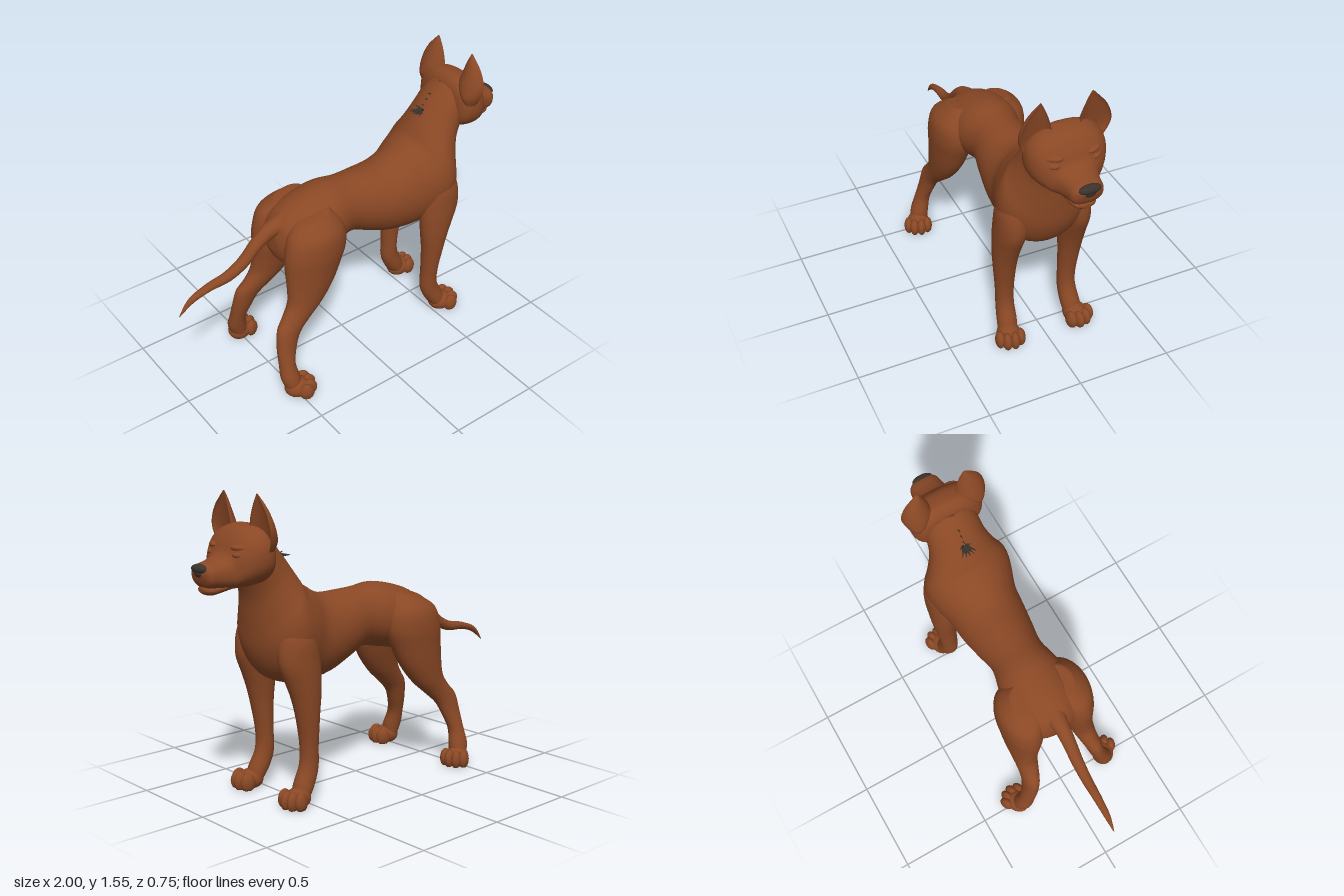
import * as THREE from 'three';

const coat = new THREE.MeshStandardMaterial({ color: 0x8a4825 });
coat.name = 'brown coat';
const dark = new THREE.MeshStandardMaterial({ color: 0x3a332c });
dark.name = 'dark nose';

// Smooth skin through rings [x1, y1, x2, y2, z, halfWidth]: each ring is an ellipse
// between two points of the side profile. hollow folds the second half inwards.
function loft(rings, { side = 1, steps = 5, seg = 32, hollow = 0, square = 1 } = {}) {
  const cr = (a, b, c, d, t) =>
    0.5 * (2 * b + (c - a) * t + (2 * a - 5 * b + 4 * c - d) * t * t + (3 * b - a - 3 * c + d) * t * t * t);
  const at = i => rings[Math.max(0, Math.min(rings.length - 1, i))];
  const n = (rings.length - 1) * steps;
  const pos = [], idx = [];
  const tri = (a, b, c) => (side > 0 ? idx.push(a, b, c) : idx.push(a, c, b));
  for (let k = 0; k <= n; k++) {
    const i = Math.min(Math.floor(k / steps), rings.length - 2), t = k / steps - i;
    const [x1, y1, x2, y2, z, w] = at(i).map((_, m) => cr(at(i - 1)[m], at(i)[m], at(i + 1)[m], at(i + 2)[m], t));
    for (let j = 0; j < seg; j++) {
      const a = (j / seg) * Math.PI * 2;
      let c = Math.cos(a), s = Math.sin(a);
      c = Math.sign(c) * Math.abs(c) ** square;
      s = Math.sign(s) * Math.abs(s) ** square;
      if (hollow && c < 0) c *= -hollow;
      pos.push((x1 + x2) / 2 + (x1 - x2) / 2 * c, (y1 + y2) / 2 + (y1 - y2) / 2 * c, side * (z + w * s));
    }
  }
  for (let k = 0; k < n; k++) for (let j = 0; j < seg; j++) {
    const a = k * seg + j, b = k * seg + (j + 1) % seg;
    tri(a, b, a + seg);
    tri(b, b + seg, a + seg);
  }
  // End caps
  for (let j = 1; j < seg - 1; j++) {
    tri(0, j + 1, j);
    tri(n * seg, n * seg + j, n * seg + j + 1);
  }
  const g = new THREE.BufferGeometry();
  g.setAttribute('position', new THREE.Float32BufferAttribute(pos, 3));
  g.setIndex(idx);
  g.computeVertexNormals();
  return g;
}

function add(parent, name, geo, mat = coat) {
  const m = new THREE.Mesh(geo, mat);
  m.name = name;
  parent.add(m);
  return m;
}

function blob(parent, name, p, r, mat = coat) {
  const m = add(parent, name, new THREE.SphereGeometry(1, 24, 16), mat);
  m.position.set(...p);
  m.scale.set(...r);
  return m;
}

// Paw with a pad and four toes, flat underneath
function paw(parent, name, x, z, side, yaw) {
  const g = new THREE.Group();
  g.name = name;
  g.position.set(x, 0, side * z);
  g.rotation.y = -side * yaw;
  const lump = (label, lx, y, lz, rx, ry, rz) => {
    const geo = new THREE.SphereGeometry(1, 20, 14).scale(rx, ry, rz).translate(lx, y, lz);
    const p = geo.attributes.position;
    for (let i = 0; i < p.count; i++) p.setY(i, Math.max(0.004, p.getY(i)));
    geo.computeVertexNormals();
    add(g, label, geo);
  };
  lump('pad', -0.015, 0.045, 0, 0.07, 0.055, 0.062);
  for (const [lx, lz] of [[0.025, -0.054], [0.047, -0.02], [0.047, 0.02], [0.025, 0.054]])
    lump('toe', lx, 0.044, lz, 0.04, 0.05, 0.026);
  parent.add(g);
}

export function createModel() {
  const dog = new THREE.Group();
  dog.name = 'dog';

  // Rump, belly, chest and neck as one skin
  add(dog, 'body', loft([
    [-0.44, 0.85, -0.445, 0.76, 0, 0.05],
    [-0.40, 0.935, -0.41, 0.68, 0, 0.13],
    [-0.30, 0.99, -0.30, 0.65, 0, 0.18],
    [-0.13, 1.03, -0.13, 0.68, 0, 0.175],
    [0, 1.02, 0, 0.70, 0, 0.147],
    [0.12, 1.015, 0.12, 0.65, 0, 0.165],
    [0.24, 1.015, 0.25, 0.60, 0, 0.185],
    [0.32, 1.04, 0.40, 0.578, 0, 0.198],
    [0.38, 1.075, 0.53, 0.60, 0, 0.228],
    [0.43, 1.105, 0.62, 0.655, 0, 0.243],
    [0.455, 1.14, 0.675, 0.77, 0, 0.23],
    [0.48, 1.18, 0.69, 0.91, 0, 0.19],
    [0.53, 1.25, 0.70, 1.03, 0, 0.157],
    [0.59, 1.32, 0.73, 1.12, 0, 0.145],
    [0.64, 1.37, 0.76, 1.16, 0, 0.135],
  ], { seg: 48 }));

  add(dog, 'tail', loft([
    [-1, 0.592, -0.998, 0.588, 0, 0.002],
    [-0.935, 0.672, -0.915, 0.645, 0, 0.016],
    [-0.82, 0.715, -0.82, 0.672, 0, 0.023],
    [-0.72, 0.735, -0.71, 0.68, 0, 0.028],
    [-0.635, 0.78, -0.605, 0.725, 0, 0.032],
    [-0.55, 0.86, -0.52, 0.80, 0, 0.036],
    [-0.47, 0.92, -0.44, 0.84, 0, 0.042],
    [-0.36, 0.96, -0.35, 0.85, 0, 0.06],
  ], { seg: 20 }));

  // Skull and upper muzzle
  add(dog, 'head', loft([
    [0.64, 1.30, 0.64, 1.20, 0, 0.07],
    [0.655, 1.37, 0.65, 1.15, 0, 0.155],
    [0.69, 1.405, 0.68, 1.122, 0, 0.192],
    [0.74, 1.405, 0.74, 1.11, 0, 0.198],
    [0.79, 1.385, 0.79, 1.107, 0, 0.182],
    [0.83, 1.335, 0.83, 1.105, 0, 0.15],
    [0.86, 1.275, 0.86, 1.105, 0, 0.112],
    [0.91, 1.25, 0.91, 1.11, 0, 0.09],
    [0.955, 1.237, 0.955, 1.12, 0, 0.082],
    [0.98, 1.225, 0.973, 1.14, 0, 0.064],
    [0.99, 1.20, 0.982, 1.165, 0, 0.03],
  ], { seg: 48, square: 0.85 }));
  add(dog, 'lowerJaw', loft([
    [0.77, 1.15, 0.78, 1.115, 0, 0.09],
    [0.85, 1.15, 0.85, 1.098, 0, 0.075],
    [0.92, 1.14, 0.92, 1.083, 0, 0.062],
    [0.955, 1.13, 0.95, 1.088, 0, 0.048],
    [0.967, 1.12, 0.966, 1.10, 0, 0.02],
  ], { seg: 24 }));

  // Nose: broad top and narrower base
  blob(dog, 'nose', [0.976, 1.212, 0], [0.025, 0.024, 0.056], dark);
  blob(dog, 'noseBase', [0.976, 1.195, 0], [0.021, 0.024, 0.034], dark);

  for (const side of [1, -1]) {
    const tag = side > 0 ? 'left' : 'right';

    // Cupped ear, open to the front
    add(dog, tag + 'Ear', loft([
      [0.675, 1.28, 0.765, 1.28, 0.175, 0.02],
      [0.655, 1.33, 0.805, 1.33, 0.165, 0.055],
      [0.662, 1.38, 0.812, 1.38, 0.153, 0.078],
      [0.678, 1.43, 0.802, 1.43, 0.151, 0.07],
      [0.697, 1.48, 0.783, 1.48, 0.146, 0.05],
      [0.714, 1.52, 0.762, 1.52, 0.137, 0.025],
      [0.731, 1.552, 0.739, 1.552, 0.13, 0.003],
    ], { side, hollow: 0.45 }));

    blob(dog, tag + 'Eye', [0.832, 1.272, side * 0.108], [0.018, 0.016, 0.03]).rotation.y = -side * 0.5;
    blob(dog, tag + 'Brow', [0.815, 1.305, side * 0.1], [0.027, 0.018, 0.048]).rotation.y = -side * 0.5;

    add(dog, tag + 'FrontLeg', loft([
      [0.58, 0.97, 0.47, 0.97, 0.13, 0.04],
      [0.635, 0.86, 0.43, 0.86, 0.158, 0.082],
      [0.645, 0.73, 0.41, 0.73, 0.173, 0.08],
      [0.605, 0.62, 0.41, 0.62, 0.18, 0.073],
      [0.578, 0.55, 0.415, 0.55, 0.183, 0.068],
      [0.55, 0.45, 0.425, 0.45, 0.184, 0.06],
      [0.525, 0.30, 0.43, 0.30, 0.18, 0.05],
      [0.53, 0.20, 0.43, 0.18, 0.179, 0.048],
      [0.57, 0.11, 0.465, 0.09, 0.184, 0.052],
      [0.59, 0.04, 0.51, 0.03, 0.19, 0.05],
    ], { side }));
    paw(dog, tag + 'FrontPaw', 0.577, 0.197, side, 0.2);

    add(dog, tag + 'HindLeg', loft([
      [-0.17, 0.98, -0.34, 0.95, 0.11, 0.06],
      [-0.11, 0.89, -0.42, 0.89, 0.14, 0.105],
      [-0.10, 0.79, -0.452, 0.79, 0.15, 0.112],
      [-0.135, 0.69, -0.457, 0.69, 0.155, 0.102],
      [-0.19, 0.58, -0.457, 0.60, 0.165, 0.086],
      [-0.27, 0.48, -0.467, 0.51, 0.175, 0.068],
      [-0.35, 0.41, -0.51, 0.44, 0.185, 0.054],
      [-0.42, 0.345, -0.553, 0.385, 0.198, 0.046],
      [-0.46, 0.27, -0.57, 0.29, 0.215, 0.043],
      [-0.487, 0.19, -0.576, 0.19, 0.24, 0.044],
      [-0.475, 0.11, -0.58, 0.11, 0.262, 0.05],
      [-0.47, 0.03, -0.55, 0.03, 0.275, 0.048],
    ], { side }));
    paw(dog, tag + 'HindPaw', -0.487, 0.288, side, 0.38);
  }

  // Dark tuft of hair on the nape, with a few finer spikes above it
  const up = new THREE.Vector3(0, 1, 0);
  const spike = (x, y, z, dx, dy, dz, r, len) => {
    const m = add(dog, 'napeTuft', new THREE.ConeGeometry(r, len, 6), dark);
    m.position.set(x, y, z);
    m.quaternion.setFromUnitVectors(up, new THREE.Vector3(dx, dy, dz).normalize());
  };
  for (let i = -2; i <= 2; i++) spike(0.495 - 0.004 * (2 - Math.abs(i)), 1.232, i * 0.012, -1, 0.05, i * 0.35, 0.011, 0.065);
  for (const s of [-1, 1]) spike(0.518, 1.245, s * 0.018, -0.5, 0.5, s * 0.7, 0.01, 0.05);
  for (let i = 0; i < 3; i++) spike(0.528 + i * 0.022, 1.263 + i * 0.026, 0, -0.9, 0.45, 0, 0.005, 0.035);

  return dog;
}
